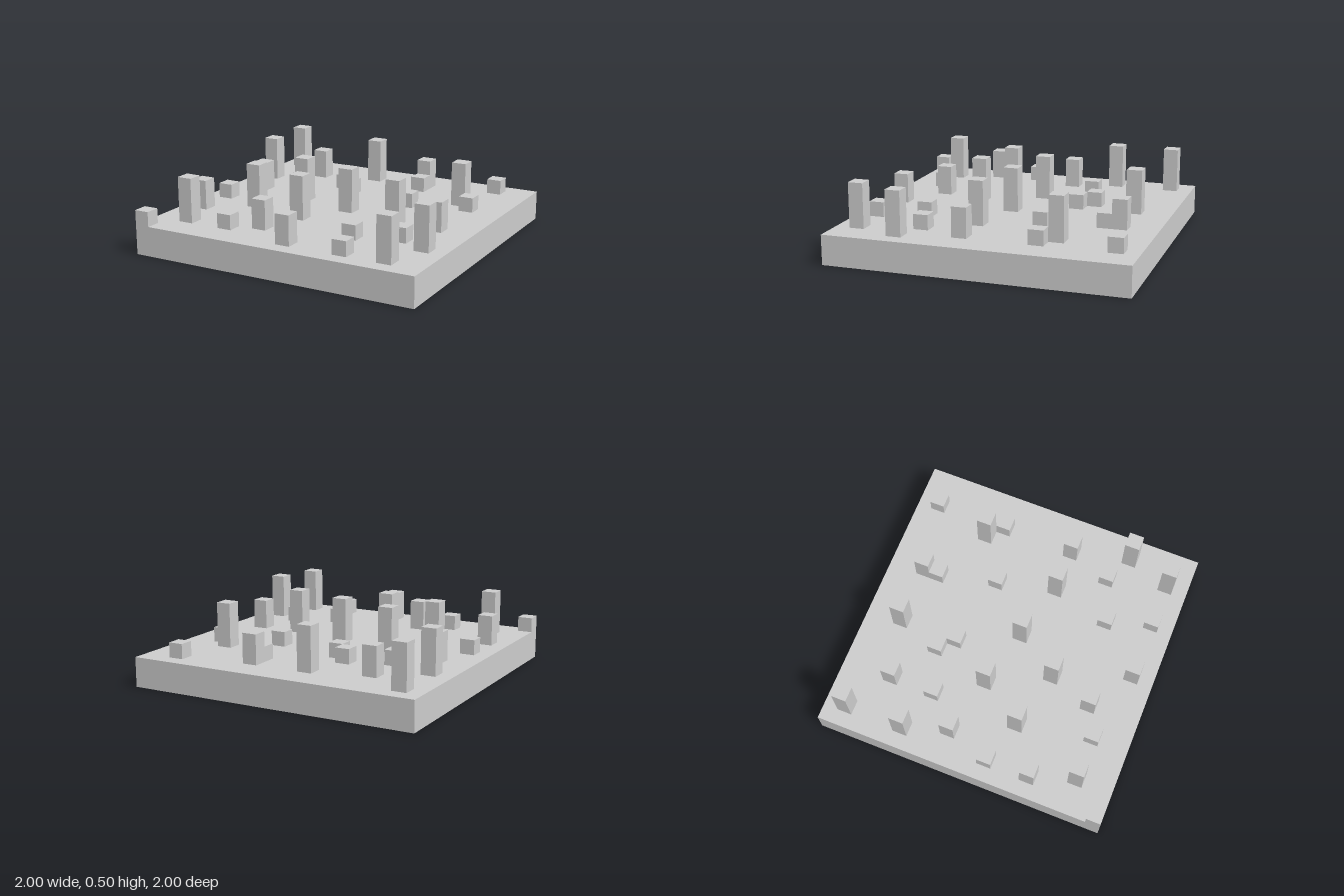
import * as THREE from 'three';

const CELL = 0.1;
const BASE_HEIGHT = 0.2;

// Grid columns and rows (0-19, from the back left corner) grouped by post height in cells
const POSTS = {
  1: [[17, 1], [12, 3], [7, 5], [4, 6], [8, 6], [17, 6], [13, 7], [1, 11],
    [16, 14], [13, 15], [5, 17], [14, 18], [0, 19]],
  2: [[12, 2], [4, 3], [2, 8], [17, 11], [1, 14], [7, 16], [10, 18]],
  3: [[1, 1], [8, 2], [1, 5], [16, 5], [6, 9], [10, 10], [14, 11], [4, 12],
    [8, 13], [18, 15], [2, 17], [17, 18]],
};
const NAMES = { 1: 'shortPost', 2: 'mediumPost', 3: 'tallPost' };

export function createModel() {
  const model = new THREE.Group();
  const material = new THREE.MeshStandardMaterial({ color: 0xcccccc, flatShading: true });

  // Square slab
  const base = new THREE.Mesh(new THREE.BoxGeometry(2, BASE_HEIGHT, 2), material);
  base.name = 'baseSlab';
  base.position.y = BASE_HEIGHT / 2;
  model.add(base);

  // Square posts standing on the slab
  for (const [cells, spots] of Object.entries(POSTS)) {
    const height = cells * CELL;
    const geometry = new THREE.BoxGeometry(CELL, height, CELL);
    for (const [column, row] of spots) {
      const post = new THREE.Mesh(geometry, material);
      post.name = NAMES[cells];
      post.position.set(
        (column + 0.5) * CELL - 1,
        BASE_HEIGHT + height / 2,
        (row + 0.5) * CELL - 1,
      );
      model.add(post);
    }
  }
  return model;
}
